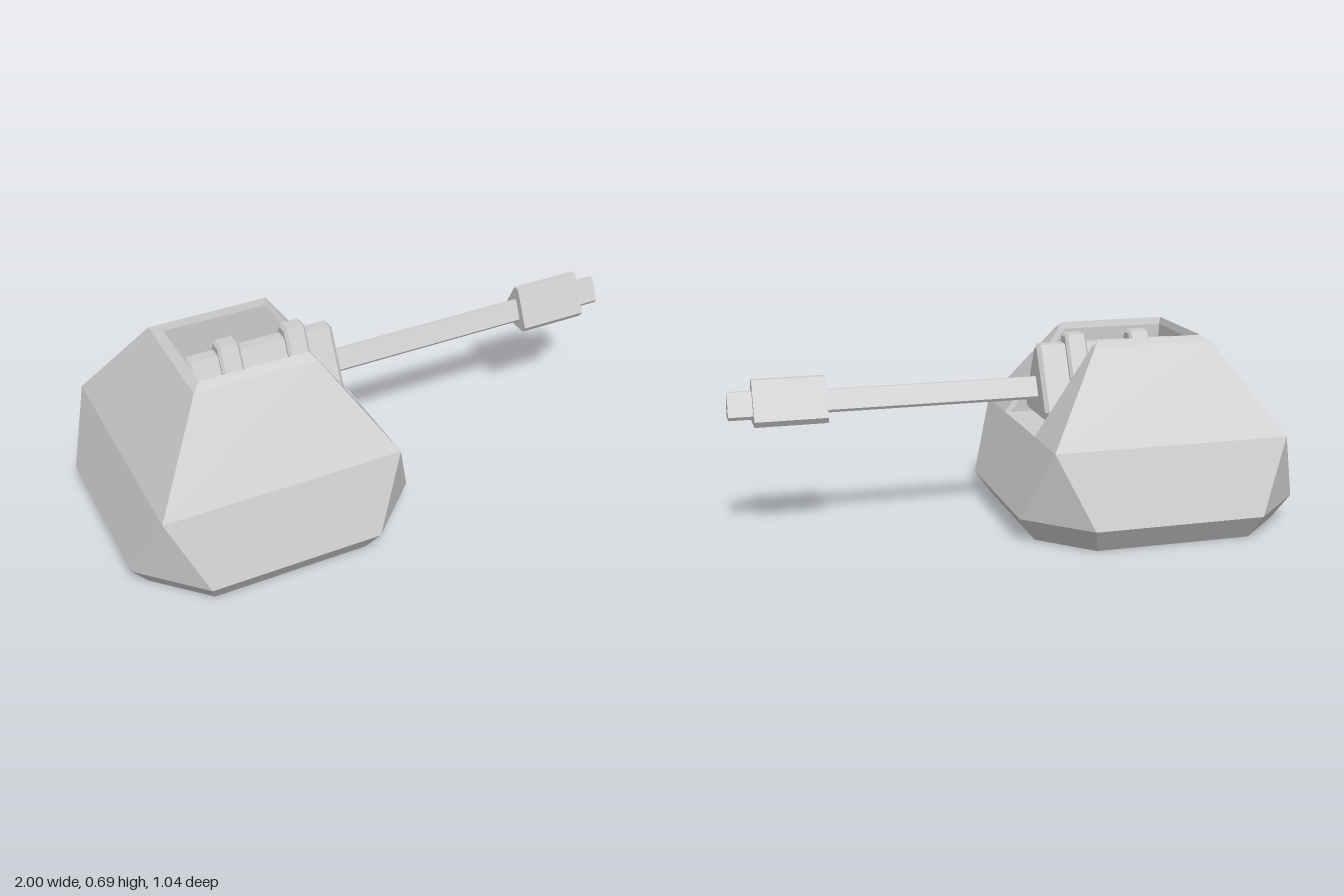
import * as THREE from 'three';

const CX = -0.48; // centre of the housing

function material() {
  return new THREE.MeshStandardMaterial({ color: 0xcccccc, flatShading: true, side: THREE.DoubleSide });
}

// Collects flat polygons, each turned away from (sign 1) or toward (sign -1) the housing centre
function polygonMesh(name, polys, cy) {
  const pos = [];
  for (const { pts, sign } of polys) {
    const v = pts.map(p => new THREE.Vector3(...p));
    const n = new THREE.Vector3().crossVectors(v[1].clone().sub(v[0]), v[2].clone().sub(v[0]));
    const mid = v.reduce((a, p) => a.add(p), new THREE.Vector3()).divideScalar(v.length);
    if (n.dot(mid.sub(new THREE.Vector3(0, cy, 0))) * sign < 0) v.reverse();
    for (let i = 1; i < v.length - 1; i++) {
      for (const p of [v[0], v[i], v[i + 1]]) pos.push(p.x, p.y, p.z);
    }
  }
  const geo = new THREE.BufferGeometry();
  geo.setAttribute('position', new THREE.Float32BufferAttribute(pos, 3));
  geo.computeVertexNormals();
  const mesh = new THREE.Mesh(geo, material());
  mesh.name = name;
  return mesh;
}

// Point on side i: r outward, t sideways
function onSide(i, r, y, t) {
  return [[r, y, t], [-t, y, r], [-r, y, -t], [t, y, -r]][i];
}

const SLOT = 0.19;

// Faceted shell: octagonal foot, triangular corner facets, tapering square top, open toward +x
function shell(name, foot, belt, shoulder, top, sign) {
  const polys = [];
  const add = (...pts) => polys.push({ pts, sign });
  for (let i = 0; i < 4; i++) {
    const P = (l, s) => onSide(i, l.r, l.y, l.t * s);
    const N = l => onSide((i + 1) % 4, l.r, l.y, -l.t);
    add(P(foot, -1), P(foot, 1), P(belt, 1), P(belt, -1));
    add(P(foot, 1), N(foot), N(belt), P(belt, 1));
    add(P(belt, -1), P(belt, 1), P(shoulder, 1), P(shoulder, -1));
    add(P(belt, 1), N(belt), P(shoulder, 1));
    if (i > 0) {
      add(P(shoulder, -1), P(shoulder, 1), P(top, 1), P(top, -1));
    } else {
      for (const s of [-1, 1]) {
        add(P(shoulder, s), P(top, s), [top.r, top.y, SLOT * s], [shoulder.r, shoulder.y, SLOT * s]);
      }
    }
  }
  return polygonMesh(name, polys, 0.3);
}

// Chamfered triangle used for every gun part, 'size' is its height
function triangle(size, Type = THREE.Shape) {
  const half = [[0.08, 0.63], [0.51, -0.23], [0.42, -0.37]];
  const pts = [...half, ...half.map(([a, b]) => [-a, b]).reverse()];
  return new Type(pts.map(([a, b]) => new THREE.Vector2(a * size, b * size)));
}

function gunPart(name, x0, x1, size, bevel = 0, bore = 0) {
  const shape = triangle(size);
  if (bore) shape.holes.push(triangle(bore, THREE.Path));
  const geo = new THREE.ExtrudeGeometry(shape, {
    depth: x1 - x0 - 2 * bevel,
    bevelEnabled: bevel > 0,
    bevelThickness: bevel,
    bevelSize: bevel,
    bevelOffset: -bevel,
    bevelSegments: 1,
  });
  geo.translate(0, 0, bevel);
  geo.rotateY(Math.PI / 2);
  const mesh = new THREE.Mesh(geo, material());
  mesh.position.x = x0;
  mesh.name = name;
  return mesh;
}

export function createModel() {
  const model = new THREE.Group();
  model.name = 'turret';

  // Housing
  const housing = new THREE.Group();
  housing.name = 'housing';
  housing.position.x = CX;
  const foot = { r: 0.457, y: 0, t: 0.283 };
  const innerFoot = { r: 0.375, y: 0, t: 0.235 };
  housing.add(shell('outerShell', foot,
    { r: 0.52, y: 0.09, t: 0.31 },
    { r: 0.43, y: 0.35, t: 0.43 },
    { r: 0.22, y: 0.665, t: 0.22 }, 1));
  housing.add(shell('innerShell', innerFoot,
    { r: 0.44, y: 0.09, t: 0.26 },
    { r: 0.35, y: 0.33, t: 0.35 },
    { r: 0.2, y: 0.555, t: 0.2 }, -1));

  // Flat ring the housing stands on
  const ring = [];
  for (let i = 0; i < 4; i++) {
    const P = (l, s) => onSide(i, l.r, l.y, l.t * s);
    const N = l => onSide((i + 1) % 4, l.r, l.y, -l.t);
    ring.push({ sign: 1, pts: [P(foot, -1), P(foot, 1), P(innerFoot, 1), P(innerFoot, -1)] });
    ring.push({ sign: 1, pts: [P(foot, 1), N(foot), N(innerFoot), P(innerFoot, 1)] });
  }
  housing.add(polygonMesh('footRing', ring, 0.3));

  // Chamfered rim around the slot
  const rim = [];
  const w = 0.183;
  rim.push({ sign: 1, pts: [[-0.22, 0.665, -0.22], [-0.22, 0.665, 0.22], [-SLOT, 0.685, SLOT], [-SLOT, 0.685, -SLOT]] });
  rim.push({ sign: -1, pts: [[-SLOT, 0.685, -SLOT], [-SLOT, 0.685, SLOT], [-w, 0.66, w], [-w, 0.66, -w]] });
  for (const s of [-1, 1]) {
    const a = SLOT * s, b = w * s, c = 0.22 * s;
    rim.push({ sign: 1, pts: [[-0.22, 0.665, c], [0.22, 0.665, c], [0.2, 0.685, a], [-SLOT, 0.685, a]] });
    rim.push({ sign: 1, pts: [[0.22, 0.665, c], [0.22, 0.665, a], [0.2, 0.685, a]] });
    rim.push({ sign: -1, pts: [[-SLOT, 0.685, a], [0.2, 0.685, a], [0.2, 0.66, b], [-w, 0.66, b]] });
    rim.push({ sign: -1, pts: [[0.2, 0.685, a], [0.22, 0.665, a], [0.2, 0.66, b]] });
    rim.push({ sign: -1, pts: [[0.22, 0.665, a], [0.43, 0.35, a], [0.41, 0.35, b], [0.2, 0.66, b]] });
  }
  housing.add(polygonMesh('slotRim', rim, 0.5));

  // Slot walls and floor
  const slot = [
    { sign: -1, pts: [[-w, 0.35, -w], [-w, 0.35, w], [-w, 0.66, w], [-w, 0.66, -w]] },
    { sign: -1, pts: [[-w, 0.35, -SLOT], [0.43, 0.35, -SLOT], [0.43, 0.35, SLOT], [-w, 0.35, SLOT]] },
  ];
  for (const s of [-1, 1]) {
    slot.push({ sign: -1, pts: [[-w, 0.35, w * s], [0.41, 0.35, w * s], [0.2, 0.66, w * s], [-w, 0.66, w * s]] });
  }
  housing.add(polygonMesh('slot', slot, 0.5));
  model.add(housing);

  // Gun
  const gun = new THREE.Group();
  gun.name = 'gun';
  gun.position.y = 0.477;
  gun.add(gunPart('breech', -0.65, -0.11, 0.265, 0.014));
  for (const x of [-0.54, -0.295]) gun.add(gunPart('breechBand', x, x + 0.08, 0.32, 0.01));
  gun.add(gunPart('barrel', -0.12, 0.67, 0.076));
  gun.add(gunPart('muzzleBlock', 0.66, 0.915, 0.155));
  gun.add(gunPart('muzzleTip', 0.91, 1, 0.092, 0, 0.054));
  model.add(gun);

  return model;
}
